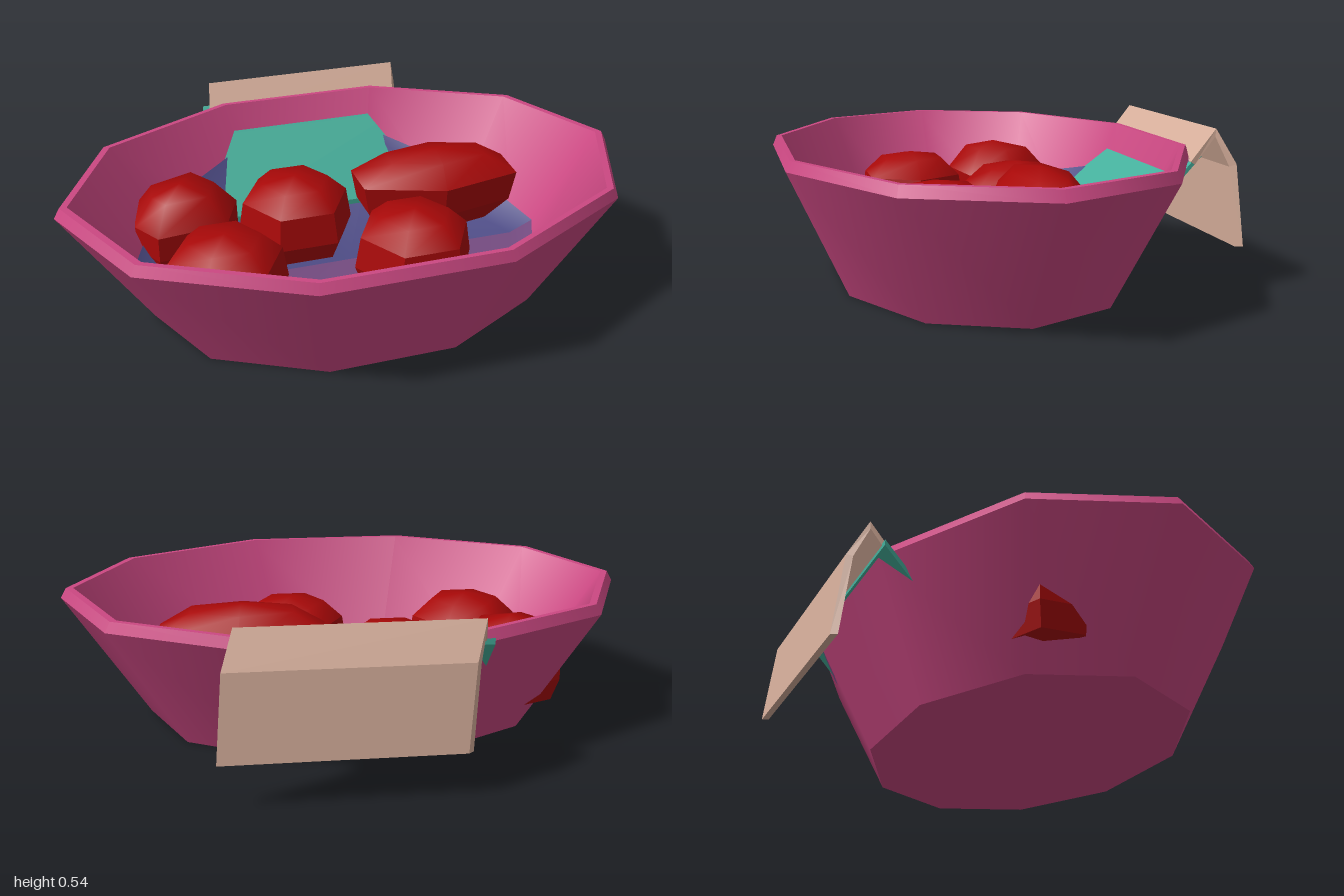
import * as THREE from 'three';

const CENTER_Z = 0.065, DEPTH = 0.72, SIDES = 10;

function material(name, color, side = THREE.FrontSide) {
  const m = new THREE.MeshStandardMaterial({ color, side });
  m.name = name;
  return m;
}

// Point on the ten-sided oval at corner k (may be fractional), radius r, height y
function ovalPoint(k, r, y) {
  const corner = (i) => [Math.cos((i * 2 * Math.PI) / SIDES), Math.sin((i * 2 * Math.PI) / SIDES)];
  const i = Math.floor(k), t = k - i, a = corner(i), b = corner(i + 1);
  return [r * (a[0] + (b[0] - a[0]) * t), y, CENTER_Z + DEPTH * r * (a[1] + (b[1] - a[1]) * t)];
}

function facesFrom(points, index) {
  const g = new THREE.BufferGeometry();
  g.setAttribute('position', new THREE.Float32BufferAttribute(points.flat(), 3));
  g.setIndex(index);
  g.computeVertexNormals();
  return g;
}

// Thin bent sheet: closed [z, y] section swept along x, drifting sideways towards the back
function bentSheet(section, x0, width, drift) {
  const shape = new THREE.Shape(section.map(([z, y]) => new THREE.Vector2(-z, y)));
  const g = new THREE.ExtrudeGeometry(shape, { depth: width, bevelEnabled: false });
  g.rotateY(Math.PI / 2);
  const p = g.attributes.position;
  for (let i = 0; i < p.count; i++) p.setX(i, p.getX(i) + x0 + drift * (p.getZ(i) + 0.59) ** 2);
  g.computeVertexNormals();
  return g;
}

// Shell through rings [scale, y] of an outline [x, z], closed at one end by a point at height capY
function shell(outline, rings, capY, capOnTop) {
  const n = outline.length;
  const cx = outline.reduce((s, p) => s + p[0], 0) / n;
  const cz = outline.reduce((s, p) => s + p[1], 0) / n;
  const points = [[cx, capY, cz]], index = [];
  for (const [s, y] of rings) {
    for (const [x, z] of outline) points.push([cx + (x - cx) * s, y, cz + (z - cz) * s]);
  }
  const upper = 1 + (rings.length - 1) * n;
  for (let i = 0; i < n; i++) {
    const j = (i + 1) % n;
    if (capOnTop) index.push(upper + i, 0, upper + j);
    else index.push(0, 1 + i, 1 + j);
    for (let r = 0; r < rings.length - 1; r++) {
      const a = 1 + r * n + i, b = 1 + r * n + j;
      index.push(a, a + n, b, b, a + n, b + n);
    }
  }
  return facesFrom(points, index);
}

export function createModel() {
  const group = new THREE.Group();
  const pink = material('pink bowl', 0xcb4882);
  const red = material('red lump', 0xa80808);
  const beige = material('beige sheet', 0xd8b09c);
  const teal = material('teal plate', 0x45b09c);
  const purple = material('purple liquid', 0x744b80, THREE.DoubleSide);
  const blue = material('blue liquid', 0x4e4c86, THREE.DoubleSide);

  const add = (name, geometry, mat) => {
    const mesh = new THREE.Mesh(geometry, mat);
    mesh.name = name;
    group.add(mesh);
  };

  // Oval bowl in bands, smooth around and sharp between bands
  const bands = {
    bowlBase: [[0, 0], [0.71, 0]],
    bowlWall: [[0.71, 0], [1, 0.44]],
    bowlBevel: [[1, 0.44], [0.98, 0.475]],
    bowlRim: [[0.98, 0.475], [0.955, 0.475]],
    bowlInside: [[0.955, 0.475], [0.66, 0.03]],
    bowlFloor: [[0.66, 0.03], [0, 0.03]],
  };
  for (const [name, profile] of Object.entries(bands)) {
    const band = new THREE.LatheGeometry(profile.map(([r, y]) => new THREE.Vector2(r, y)), SIDES, Math.PI / 2);
    band.scale(1, 1, DEPTH);
    band.translate(0, 0, CENTER_Z);
    add(name, band, pink);
  }

  // Liquid: flat middle, with an edge that climbs the inner wall towards the back
  const levels = [0.14, 0.13, 0.14, 0.11, 0.15, 0.2, 0.23, 0.32, 0.33, 0.2];
  const liquid = (from) => {
    const points = [[0, 0.1, CENTER_Z]], index = [];
    for (let i = 0; i <= 5; i++) {
      const k = (from + i) % SIDES, y = levels[k];
      points.push(ovalPoint(k, 0.64, 0.1), ovalPoint(k, 0.655 + (y - 0.03) * 0.663, y));
    }
    for (let a = 1; a <= 9; a += 2) index.push(0, a + 2, a, a, a + 2, a + 1, a + 1, a + 2, a + 3);
    return facesFrom(points, index);
  };
  add('frontLiquid', liquid(0), purple);
  add('backLiquid', liquid(5), blue);

  // Patch on the outside of the back wall
  const onWall = (k, y) => ovalPoint(k, 0.714 + (y / 0.44) * 0.29, y);
  add('outerPatch', facesFrom(
    [onWall(8.02, 0.29), onWall(8.2, 0.29), onWall(8.28, 0.33), onWall(8.24, 0.44), onWall(8.02, 0.44)],
    [0, 2, 1, 0, 3, 2, 0, 4, 3]), purple);

  // Teal plate sloping steeply down through the back wall
  add('plate', bentSheet(
    [[-0.31, 0.13], [-0.54, 0.374], [-0.625, 0.465], [-0.625, 0.445], [-0.54, 0.354], [-0.31, 0.11]],
    -0.38, 0.77, 0), teal);

  // Folded sheet hooked behind the rim
  add('foldedHandle', bentSheet(
    [[-0.585, 0.43], [-0.665, 0.542], [-0.725, 0.425], [-0.75, 0.145],
      [-0.73, 0.142], [-0.706, 0.415], [-0.663, 0.515], [-0.6, 0.42]],
    -0.36, 0.755, 3.1), beige);

  // Lumps: faceted sides under a smooth dome that starts at the second ring from the top
  const addLump = (name, outline, rings, bottom, top) => {
    const sides = shell(outline, rings.slice(0, -1), bottom, false).toNonIndexed();
    sides.computeVertexNormals();
    add(name + 'Sides', sides, red);
    add(name + 'Dome', shell(outline, rings.slice(-2), top, true), red);
  };

  // Three six-sided lumps
  for (const [x, z] of [[-0.145, -0.13], [-0.475, 0.205], [0.185, 0.23]]) {
    const outline = [0, 1, 2, 3, 4, 5].map((i) => {
      const a = (i * Math.PI) / 3;
      return [x + 0.215 * Math.cos(a), z + 0.215 * Math.sin(a)];
    });
    addLump('roundLump', outline, [[0.8, 0.06], [1, 0.17], [0.91, 0.285], [0.58, 0.35]], 0.04, 0.37);
  }

  // Uneven lump poking out through the back wall
  addLump('unevenLump',
    [[-0.35, -0.19], [-0.42, -0.02], [-0.67, 0.01], [-0.735, -0.1], [-0.715, -0.26], [-0.46, -0.36]],
    [[0.85, 0.1], [1, 0.18], [0.99, 0.27], [0.6, 0.365]], 0.06, 0.39);

  // Long lump lying on top
  addLump('longLump',
    [[0.67, -0.12], [0.66, 0.04], [0.36, 0.1], [0.08, 0], [0.08, -0.16], [0.39, -0.22]],
    [[0.65, 0.15], [0.93, 0.23], [1, 0.34], [0.6, 0.415]], 0.14, 0.435);

  return group;
}
